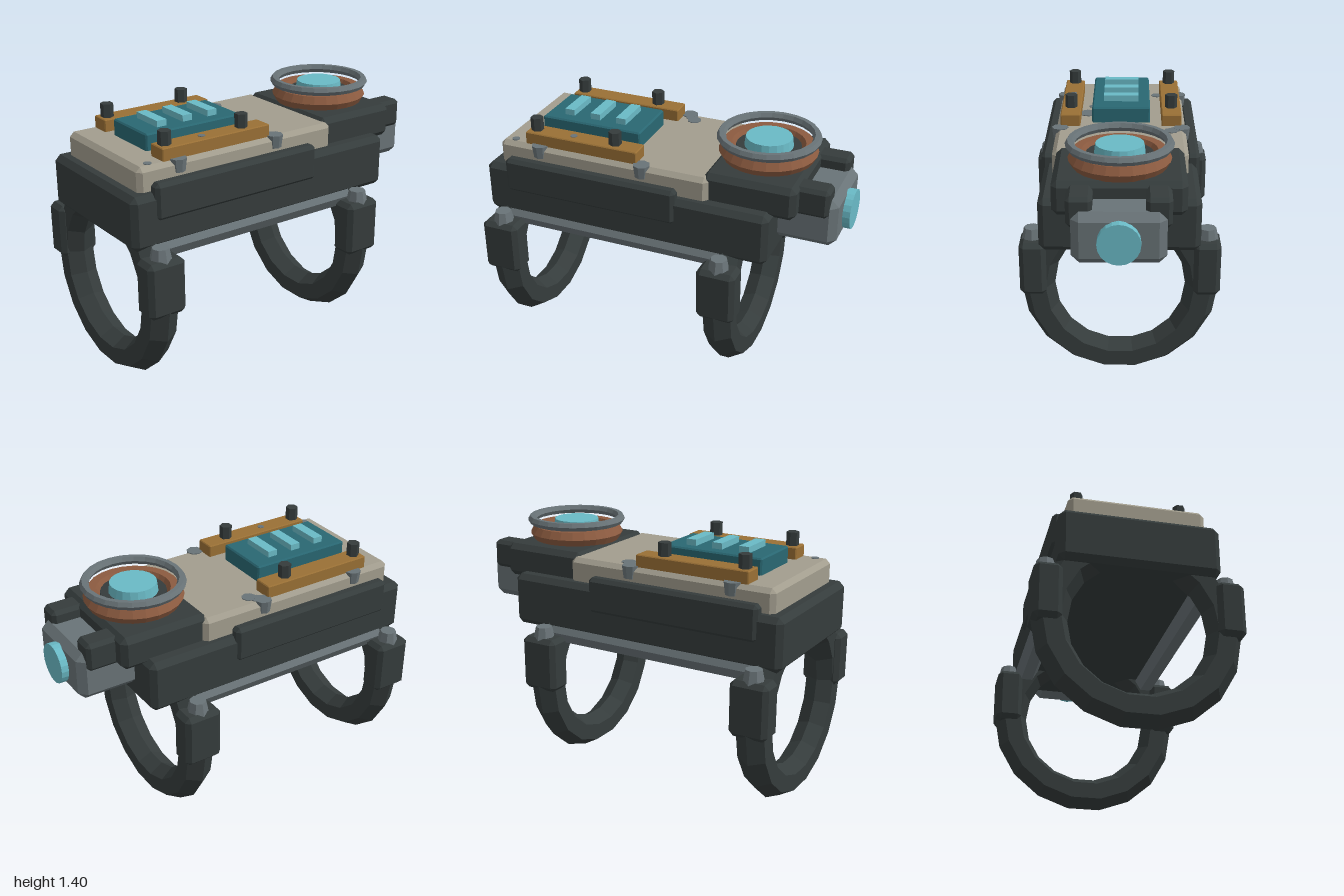
import * as THREE from 'three';
import { ConvexGeometry } from 'three/addons/geometries/ConvexGeometry.js';

const paint = (name, color) => {
  const m = new THREE.MeshStandardMaterial({ color });
  m.name = name;
  return m;
};

// Faceted copy of a geometry
function flat(geometry) {
  const g = geometry.index ? geometry.toNonIndexed() : geometry;
  g.computeVertexNormals();
  return g;
}

// Box from min/max ranges with 45 degree chamfers on all edges
function chamferBox([x0, x1], [y0, y1], [z0, z1], c) {
  const h = [(x1 - x0) / 2, (y1 - y0) / 2, (z1 - z0) / 2];
  const pts = [];
  for (const sx of [-1, 1]) for (const sy of [-1, 1]) for (const sz of [-1, 1])
    for (let full = 0; full < 3; full++) {
      const p = [sx, sy, sz].map((s, i) => s * (h[i] - (i === full ? 0 : c)));
      pts.push(new THREE.Vector3(...p));
    }
  const g = new ConvexGeometry(pts);
  g.translate((x0 + x1) / 2, (y0 + y1) / 2, (z0 + z1) / 2);
  return g;
}

// Upright faceted cylinder between two heights
function post(rTop, rBottom, y0, y1, sides, x, z) {
  const g = flat(new THREE.CylinderGeometry(rTop, rBottom, y1 - y0, sides));
  return g.translate(x, (y0 + y1) / 2, z);
}

export function createModel() {
  const dark = paint('dark metal', 0x353c3c);
  const grey = paint('grey steel', 0x697377);
  const cream = paint('worn cream', 0xa29d8e);
  const brass = paint('brass', 0x9a7035);
  const copper = paint('copper', 0x8c5b40);
  const teal = paint('dark teal', 0x296772);
  const cyan = paint('bright cyan', 0x6abac6);

  const model = new THREE.Group();
  const add = (name, geometry, material) => {
    const mesh = new THREE.Mesh(geometry, material);
    mesh.name = name;
    model.add(mesh);
    return mesh;
  };

  // Housing and cover
  add('body', chamferBox([-1, 0.65], [0.83, 1.12], [-0.42, 0.42], 0.03), dark);
  add('topCover', chamferBox([-0.93, 0.3], [1.08, 1.248], [-0.365, 0.365], 0.025), cream);
  add('turretBase', chamferBox([0.255, 0.765], [1.08, 1.265], [-0.34, 0.34], 0.03), dark);

  // Nose block with round lamp
  add('noseBlock', chamferBox([0.6, 0.96], [0.908, 1.18], [-0.235, 0.235], 0.04), grey);
  const lamp = flat(new THREE.CylinderGeometry(0.108, 0.108, 0.06, 20));
  add('noseLamp', lamp.rotateZ(-Math.PI / 2).translate(0.97, 1.04, 0), cyan);

  // Dial turret
  const dial = (name, radius, tube, y, material) => add(name,
    flat(new THREE.TorusGeometry(radius, tube, 6, 24).rotateX(Math.PI / 2)).translate(0.51, y, 0), material);
  dial('copperRing', 0.22, 0.047, 1.302, copper);
  dial('rimRing', 0.255, 0.025, 1.377, grey);
  add('dialCore', post(0.175, 0.18, 1.25, 1.325, 24, 0.51, 0), dark);
  add('dialLens', post(0.125, 0.132, 1.32, 1.378, 20, 0.51, 0), cyan);

  // Display panel with light bars
  add('displayPanel', chamferBox([-0.76, -0.17], [1.23, 1.338], [-0.165, 0.165], 0.008), teal);
  for (const x of [-0.625, -0.467, -0.312])
    add('lightBar', new THREE.BoxGeometry(0.058, 0.05, 0.2).translate(x, 1.347, 0), cyan);

  // Parts repeated on both sides
  for (const s of [-1, 1]) {
    const span = (a, b) => (s > 0 ? [a, b] : [-b, -a]);
    add('sidePanel', chamferBox([-0.87, 0.14], [0.975, 1.172], span(0.36, 0.435), 0.02), dark);
    add('noseLug', chamferBox([0.7, 0.92], [1.09, 1.247], span(0.13, 0.26), 0.02), dark);
    add('strap', chamferBox([-0.775, -0.112], [1.24, 1.314], span(0.23, 0.342), 0.005), brass);
    for (const x of [-0.728, -0.257])
      add('strapBolt', post(0.035, 0.035, 1.3, 1.388, 6, x, s * 0.286), dark);
    for (const x of [-0.687, -0.08])
      add('coverRivet', post(0.047, 0.038, 1.183, 1.253, 8, x, s * 0.342), grey);

    // Lower rail between the two hoops
    const rail = flat(new THREE.CylinderGeometry(0.065, 0.065, 1.3, 6));
    add('rail', rail.rotateZ(Math.PI / 2).translate(-0.235, 0.82, s * 0.37), grey);

    for (const x of [-0.883, 0.413]) {
      add('clamp', chamferBox([x - 0.108, x + 0.108], [0.5, 0.805], span(0.395, 0.54), 0.025), dark);
      add('clampBolt', post(0.045, 0.06, 0.79, 0.862, 8, x, s * 0.47), grey);
    }
  }

  // Finger hoops
  for (const x of [-0.883, 0.413]) {
    const hoop = flat(new THREE.TorusGeometry(0.4475, 0.0925, 6, 18));
    add('hoop', hoop.rotateY(Math.PI / 2).translate(x, 0.533, 0), dark);
  }

  // Chipped paint on the cover
  const chips = [[-0.67, -0.215, 0.035], [-0.03, -0.28, 0.04], [-0.055, -0.31, 0.035],
    [-0.455, 0.17, 0.022], [-0.85, 0.32, 0.022], [-0.33, 0.19, 0.055], [-0.36, 0.2, 0.025]];
  for (const [x, z, r] of chips)
    add('paintChip', post(r, r, 1.244, 1.252, 8, x, z), grey);
  add('strapChip', post(0.02, 0.02, 1.31, 1.317, 8, -0.505, 0.286), grey);

  return model;
}
